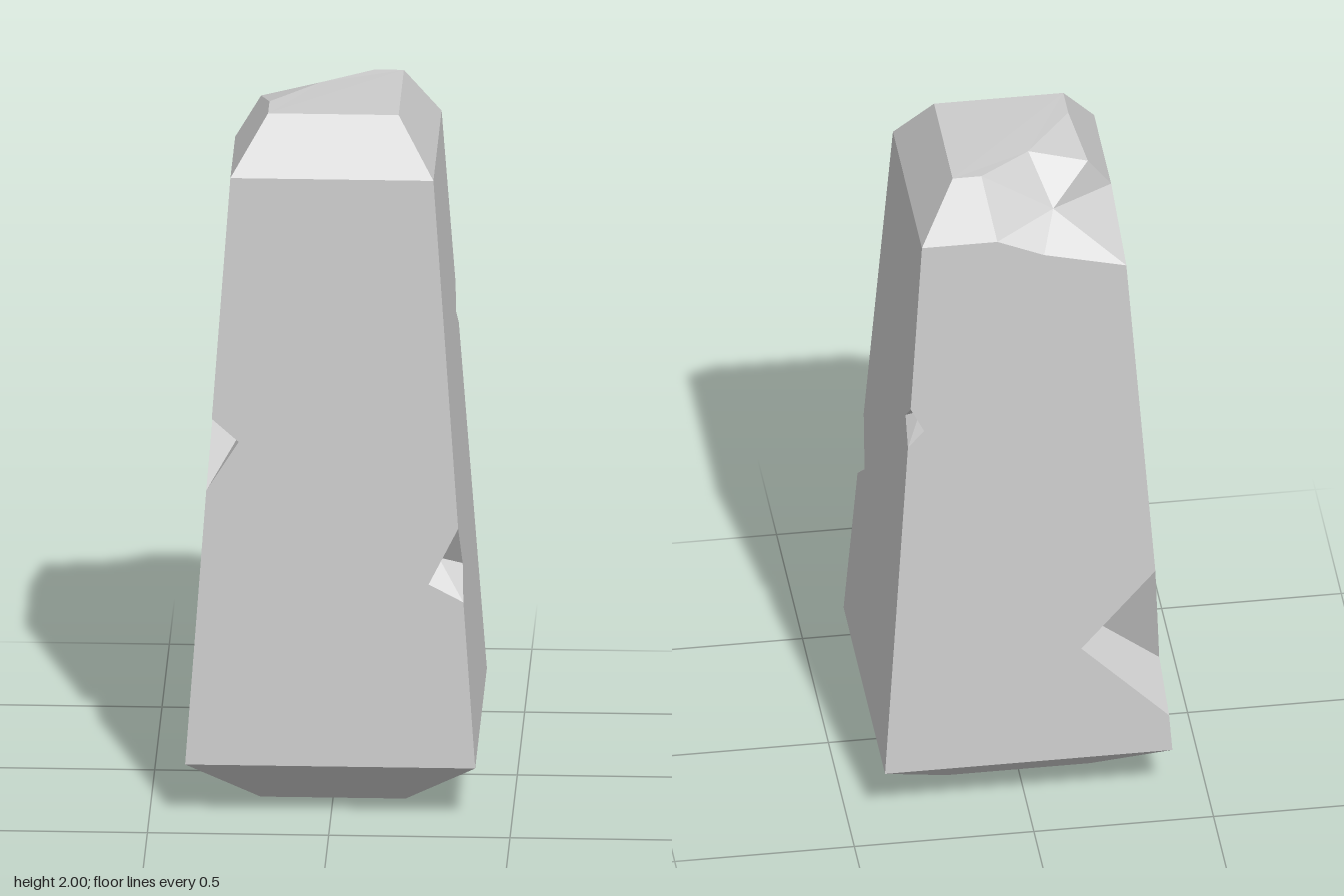
import * as THREE from 'three';

const V = (x, y, z) => new THREE.Vector3(x, y, z);
// half width of the tapering shaft at height y
const half = (y) => 0.4 - (y - 0.165) * (0.12 / 1.68);
const corner = (sx, sz, h, y) => V(sx * h, y, sz * h);

// Notches cut into the four vertical edges. zx: x of the tip on the front/back
// face, xz: z of the tip on the side face; flip: the two-facet half is below.
const NOTCHES = [
  { sx: 1, sz: 1, low: 0.64, high: 0.85, zx: [0.27, 0.69], xz: [0.27, 0.72], inner: V(0.295, 0.745, 0.295) },
  { sx: -1, sz: 1, low: 0.95, high: 1.155, zx: [-0.255, 1.09], xz: [0.195, 1.105], inner: V(-0.262, 1.07, 0.25), flip: true },
  { sx: 1, sz: -1, low: 1.207, high: 1.33, zx: [0.28, 1.257], xz: [-0.25, 1.265], inner: V(0.285, 1.295, -0.28) },
  { sx: -1, sz: -1, low: 0.277, high: 0.745, zx: [-0.15, 0.515], xz: [-0.25, 0.375], inner: V(-0.177, 0.552, -0.278) },
].map((n) => ({
  ...n,
  lowPt: corner(n.sx, n.sz, half(n.low), n.low),
  highPt: corner(n.sx, n.sz, half(n.high), n.high),
  zPt: V(n.zx[0], n.zx[1], n.sz * half(n.zx[1])),
  xPt: V(n.sx * half(n.xz[1]), n.xz[1], n.xz[0]),
}));

// Collects planar polygons, turning every triangle towards an outward hint
function polygonSet() {
  const pos = [];
  return {
    add(out, pts) {
      const a = [Math.abs(out.x), Math.abs(out.y), Math.abs(out.z)];
      const drop = a.indexOf(Math.max(...a));
      const flat = pts.map((p) => drop === 0 ? new THREE.Vector2(p.z, p.y)
        : drop === 1 ? new THREE.Vector2(p.x, p.z) : new THREE.Vector2(p.x, p.y));
      const tris = pts.length === 3 ? [[0, 1, 2]] : THREE.ShapeUtils.triangulateShape(flat, []);
      for (const t of tris) {
        const [p, q, r] = t.map((i) => pts[i]);
        const n = q.clone().sub(p).cross(r.clone().sub(p));
        for (const v of n.dot(out) >= 0 ? [p, q, r] : [p, r, q]) pos.push(v.x, v.y, v.z);
      }
    },
    mesh(name) {
      const g = new THREE.BufferGeometry();
      g.setAttribute('position', new THREE.Float32BufferAttribute(pos, 3));
      g.computeVertexNormals();
      const m = new THREE.Mesh(g, new THREE.MeshStandardMaterial({ color: 0xcccccc, flatShading: true }));
      m.name = name;
      return m;
    },
  };
}

export function createModel() {
  const group = new THREE.Group();
  group.name = 'chippedStonePillar';
  const ring = (h, y) => [[-1, 1], [1, 1], [1, -1], [-1, -1]].map(([sx, sz]) => corner(sx, sz, h, y));
  const foot = ring(0.2, 0), base = ring(0.4, 0.165), shoulder = ring(0.28, 1.845), crown = ring(0.18, 2);
  const OUT = [V(0, 0, 1), V(1, 0, 0), V(0, 0, -1), V(-1, 0, 0)];

  // Outline of the broken top corner
  const chipLow = V(-0.288, 1.735, -0.288);
  const chipBack = V(-0.06, 1.79, -half(1.79));
  const chipBackTop = V(0.07, 1.845, -0.28);
  const chipSide = V(-0.28, 1.845, -0.05);
  const rimBack = V(0.1, 2, -0.18), rimMid = V(-0.045, 1.998, -0.078);
  const rimSide = V(-0.21, 1.954, -0.085), rimFront = V(-0.18, 2, 0.085);
  const chipInner = V(-0.1, 1.87, -0.18);

  // Undercut foot
  const footSet = polygonSet();
  footSet.add(V(0, -1, 0), foot);
  for (let i = 0; i < 4; i++) {
    const j = (i + 1) % 4;
    footSet.add(OUT[i], [foot[i], foot[j], base[j], base[i]]);
  }
  group.add(footSet.mesh('foot'));

  // Tapering shaft: each side runs up one notched edge and down the next
  const shaft = polygonSet();
  const edge = (sx, sz, key) => {
    const n = NOTCHES.find((k) => k.sx === sx && k.sz === sz);
    const top = sx < 0 && sz < 0 ? chipLow : corner(sx, sz, 0.28, 1.845);
    return [corner(sx, sz, 0.4, 0.165), n.lowPt, n[key], n.highPt, top];
  };
  shaft.add(OUT[0], [...edge(-1, 1, 'zPt'), ...edge(1, 1, 'zPt').reverse()]);
  shaft.add(OUT[1], [...edge(1, 1, 'xPt'), ...edge(1, -1, 'xPt').reverse()]);
  shaft.add(OUT[2], [...edge(-1, -1, 'zPt'), chipBack, chipBackTop, ...edge(1, -1, 'zPt').reverse()]);
  shaft.add(OUT[3], [...edge(-1, -1, 'xPt'), chipSide, ...edge(-1, 1, 'xPt').reverse()]);
  group.add(shaft.mesh('shaft'));

  // Facets inside the edge notches
  const cuts = polygonSet();
  for (const n of NOTCHES) {
    const [apex, end] = n.flip ? [n.lowPt, n.highPt] : [n.highPt, n.lowPt];
    const toward = (p) => p.clone().sub(n.inner);
    cuts.add(toward(n.xPt), [apex, n.zPt, n.inner]);
    cuts.add(toward(n.zPt), [apex, n.inner, n.xPt]);
    cuts.add(toward(apex), [n.zPt, end, n.inner]);
    cuts.add(toward(apex), [end, n.xPt, n.inner]);
  }
  group.add(cuts.mesh('edgeNotches'));

  // Bevelled cap
  const cap = polygonSet();
  for (const i of [0, 1]) cap.add(OUT[i], [shoulder[i], shoulder[i + 1], crown[i + 1], crown[i]]);
  cap.add(OUT[2], [chipBackTop, shoulder[2], crown[2], rimBack]);
  cap.add(OUT[3], [chipSide, shoulder[0], crown[0], rimFront, rimSide]);
  cap.add(V(0, 1, 0), [rimFront, crown[0], crown[1], crown[2], rimBack, rimMid]);
  group.add(cap.mesh('cap'));

  // Broken corner: a fan of facets around its hollow
  const chip = polygonSet();
  const rim = [chipLow, chipBack, chipBackTop, rimBack, rimMid, rimSide, chipSide];
  rim.forEach((p, i) => chip.add(V(-0.5, 1, -0.5), [p, rim[(i + 1) % rim.length], chipInner]));
  chip.add(V(0, 1, 0), [rimFront, rimSide, rimMid]);
  group.add(chip.mesh('brokenCorner'));

  return group;
}
